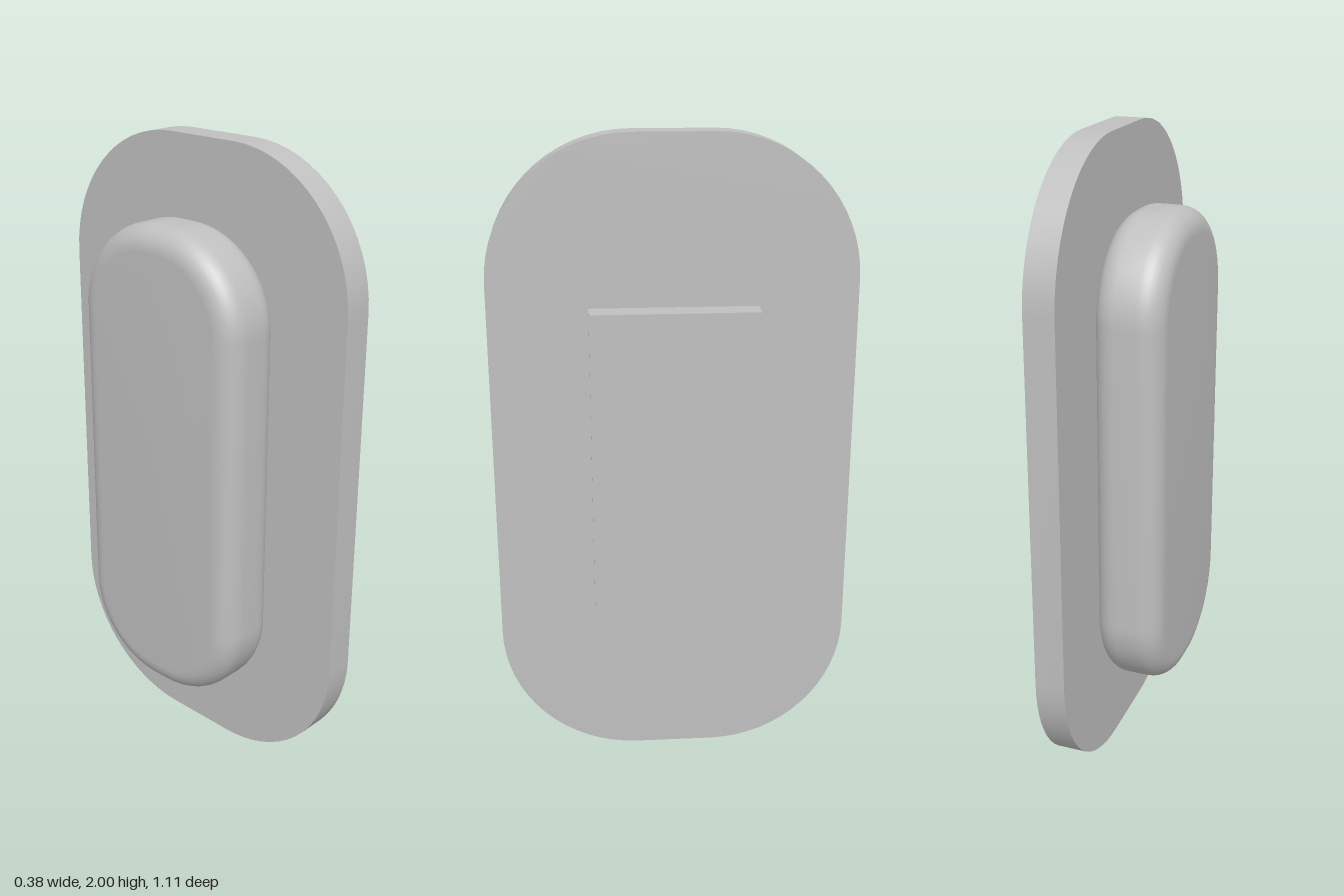
import * as THREE from 'three';
import { toCreasedNormals } from 'three/addons/utils/BufferGeometryUtils.js';

// Rounded rectangle in the z-y plane, centred on the origin
function roundedShape(halfW, halfH, r) {
  const s = new THREE.Shape();
  const w = halfW - r, h = halfH - r, q = Math.PI / 2;
  s.moveTo(halfW, -h);
  [[w, h], [-w, h], [-w, -h], [w, -h]].forEach(([x, y], i) => s.absarc(x, y, r, i * q, (i + 1) * q, false));
  return s;
}

// Slab spanning x0..x1 with an optional rounded rim
function slab(shape, x0, x1, bevel, segments) {
  const geo = new THREE.ExtrudeGeometry(shape, {
    depth: x1 - x0 - 2 * bevel,
    curveSegments: segments,
    bevelEnabled: bevel > 0,
    bevelThickness: bevel,
    bevelSize: bevel,
    bevelOffset: -bevel,
    bevelSegments: 8,
  });
  geo.rotateY(Math.PI / 2);
  geo.translate(x0 + bevel, 0, 0);
  return toCreasedNormals(geo, Math.PI / 6);
}

export function createModel() {
  const group = new THREE.Group();
  const grey = new THREE.MeshStandardMaterial({ color: 0xbfbfbf });
  grey.name = 'light grey';

  const add = (name, geo, y, x = 0) => {
    const mesh = new THREE.Mesh(geo, grey);
    mesh.name = name;
    mesh.position.set(x, y, 0);
    group.add(mesh);
  };

  // Flat plate with large round corners
  add('backPlate', slab(roundedShape(0.553, 1, 0.43), 0.02, 0.113, 0, 8), 1);
  // Soft-edged pad on the right face
  add('pad', slab(roundedShape(0.317, 0.765, 0.29), -0.192, 0.02, 0.072, 14), 1.004);
  // Rectangular block on the left face
  add('mountingBlock', new THREE.BoxGeometry(0.079, 0.98, 0.506), 1.004, 0.1515);

  return group;
}
